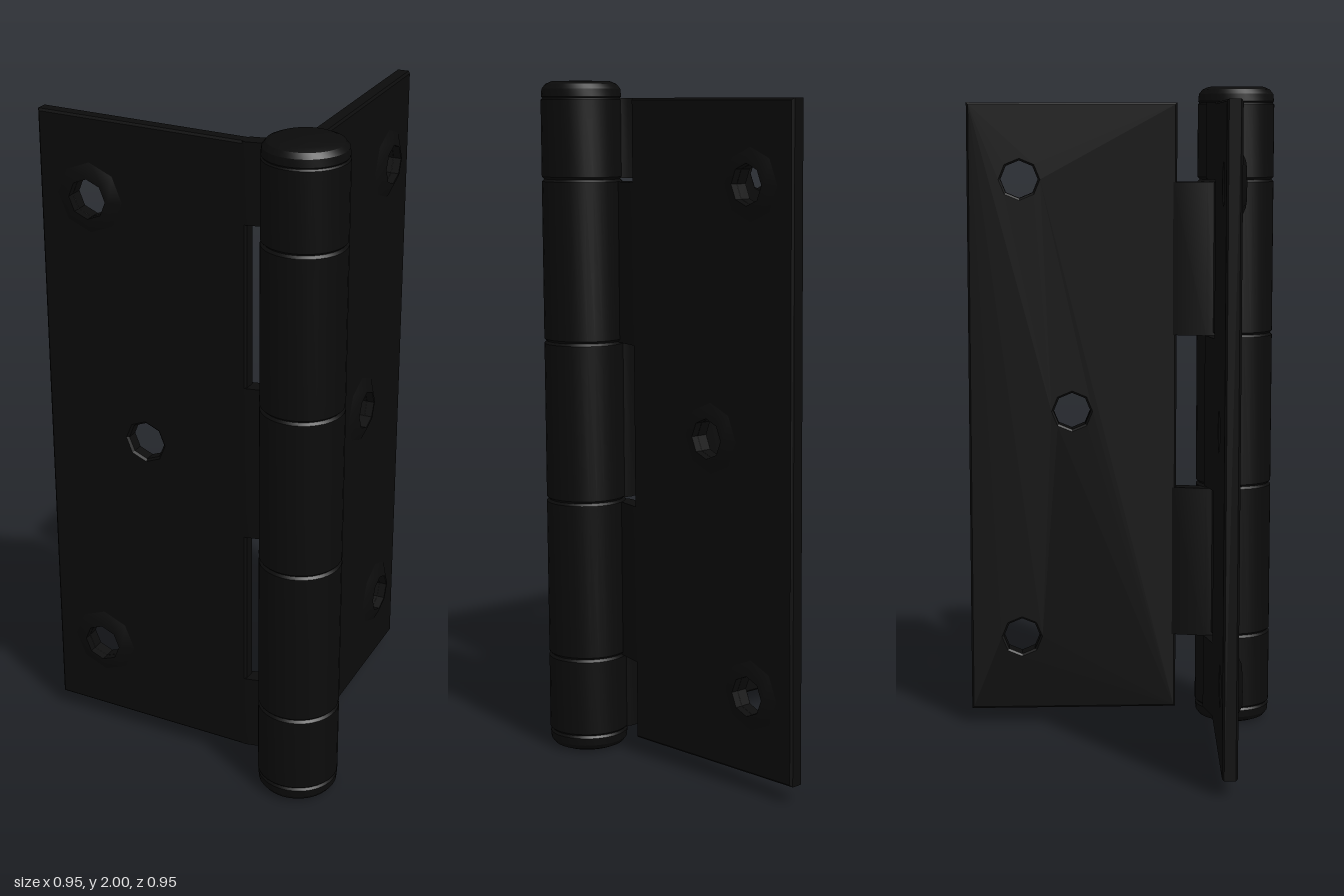
import * as THREE from 'three';
import { toCreasedNormals } from 'three/addons/utils/BufferGeometryUtils.js';

const black = new THREE.MeshStandardMaterial({ color: 0x0b0b0b });
const AXIS = 0.356;      // pin axis in x and z
const R = 0.118;         // barrel radius
const BACK = -0.071, FRONT = -0.026; // leaf faces, measured from the pin axis
const cuts = [0.052, 0.289, 0.765, 1.24, 1.716, 1.952]; // knuckle joints in y
const V = (x, y) => new THREE.Vector2(x, y);

function add(parent, name, geometry) {
  const mesh = new THREE.Mesh(toCreasedNormals(geometry, 0.5), black);
  mesh.name = name;
  parent.add(mesh);
  return mesh;
}

// One leaf, built around the pin axis and around mid height
function makeLeaf(name, tabIndices, raisedMiddle) {
  const leaf = new THREE.Group();
  leaf.name = name;
  const x0 = -0.475 - AXIS, x1 = 0.17 - AXIS, h = 0.95, b = 0.006;
  const holes = [[-0.315, 0.717], [-0.155, 0], [-0.315, -0.717]];

  // Plate with three octagonal screw holes
  const shape = new THREE.Shape([V(x0 + b, -h + b), V(x1 - b, -h + b), V(x1 - b, h - b), V(x0 + b, h - b)]);
  for (const [x, y] of holes) {
    const points = [];
    for (let i = 0; i < 8; i++) {
      const a = -i * Math.PI / 4;
      points.push(V(x - AXIS + Math.cos(a) * (0.058 + b), y + Math.sin(a) * (0.058 + b)));
    }
    shape.holes.push(new THREE.Path(points));
  }
  const plate = new THREE.ExtrudeGeometry(shape, {
    depth: FRONT - BACK - 2 * b, bevelSize: b, bevelThickness: b, bevelSegments: 1,
  });
  plate.translate(0, 0, BACK + b);
  add(leaf, 'plate', plate);

  // Raised seats around the holes on the front face
  holes.forEach(([x, y], i) => {
    if (i === 1 && !raisedMiddle) return;
    const ring = new THREE.LatheGeometry(
      [V(0.058, -0.012), V(0.106, -0.002), V(0.066, 0.017), V(0.058, 0.017), V(0.058, -0.012)], 8);
    ring.rotateX(Math.PI / 2);
    ring.translate(x - AXIS, y, FRONT);
    add(leaf, 'screwSeat', ring);
  });

  // Bent tabs running from the plate into the barrel
  const bend = new THREE.Shape([
    V(x1 - 0.012, -FRONT), V(x1, -FRONT), V(-0.085, 0.05), V(-0.07, 0.09), V(-0.096, 0.096), V(x1 - 0.012, -BACK),
  ]);
  for (const i of tabIndices) {
    const low = cuts[i] + 0.002, high = cuts[i + 1] - 0.002;
    const tab = new THREE.ExtrudeGeometry(bend, { depth: high - low, bevelEnabled: false });
    tab.rotateX(-Math.PI / 2);
    tab.translate(0, low - 1, 0);
    add(leaf, 'tab', tab);
  }
  return leaf;
}

export function createModel() {
  const model = new THREE.Group();
  model.name = 'hinge';

  // Front leaf
  const frontLeaf = makeLeaf('frontLeaf', [0, 2, 4], false);
  frontLeaf.position.set(AXIS, 1, AXIS);
  model.add(frontLeaf);

  // Side leaf: half turn about the diagonal, then opened slightly
  const sideLeaf = makeLeaf('sideLeaf', [1, 3], true);
  const diagonal = new THREE.Vector3(1, 0, 1).normalize();
  sideLeaf.quaternion.setFromAxisAngle(new THREE.Vector3(0, 1, 0), 0.042)
    .multiply(new THREE.Quaternion().setFromAxisAngle(diagonal, Math.PI));
  sideLeaf.position.set(AXIS, 1, AXIS);
  model.add(sideLeaf);

  // Barrel of five knuckles with small chamfered joints
  const barrel = new THREE.Group();
  barrel.name = 'barrel';
  barrel.position.set(AXIS, 0, AXIS);
  model.add(barrel);
  const c = 0.007;
  for (let i = 0; i < 5; i++) {
    const low = cuts[i], high = cuts[i + 1];
    add(barrel, 'knuckle', new THREE.LatheGeometry(
      [V(0, low), V(R - c, low), V(R, low + c), V(R, high - c), V(R - c, high), V(0, high)], 32));
  }

  // Rounded pin caps at both ends
  const capProfile = [V(0, 0), V(0.085, 0.002), V(0.104, 0.01), V(0.115, 0.024), V(0.117, 0.046), V(0.111, 0.054), V(0, 0.054)];
  add(barrel, 'pinCapBottom', new THREE.LatheGeometry(capProfile, 32));
  const top = add(barrel, 'pinCapTop', new THREE.LatheGeometry(capProfile, 32));
  top.rotation.x = Math.PI;
  top.position.y = 2;
  return model;
}
